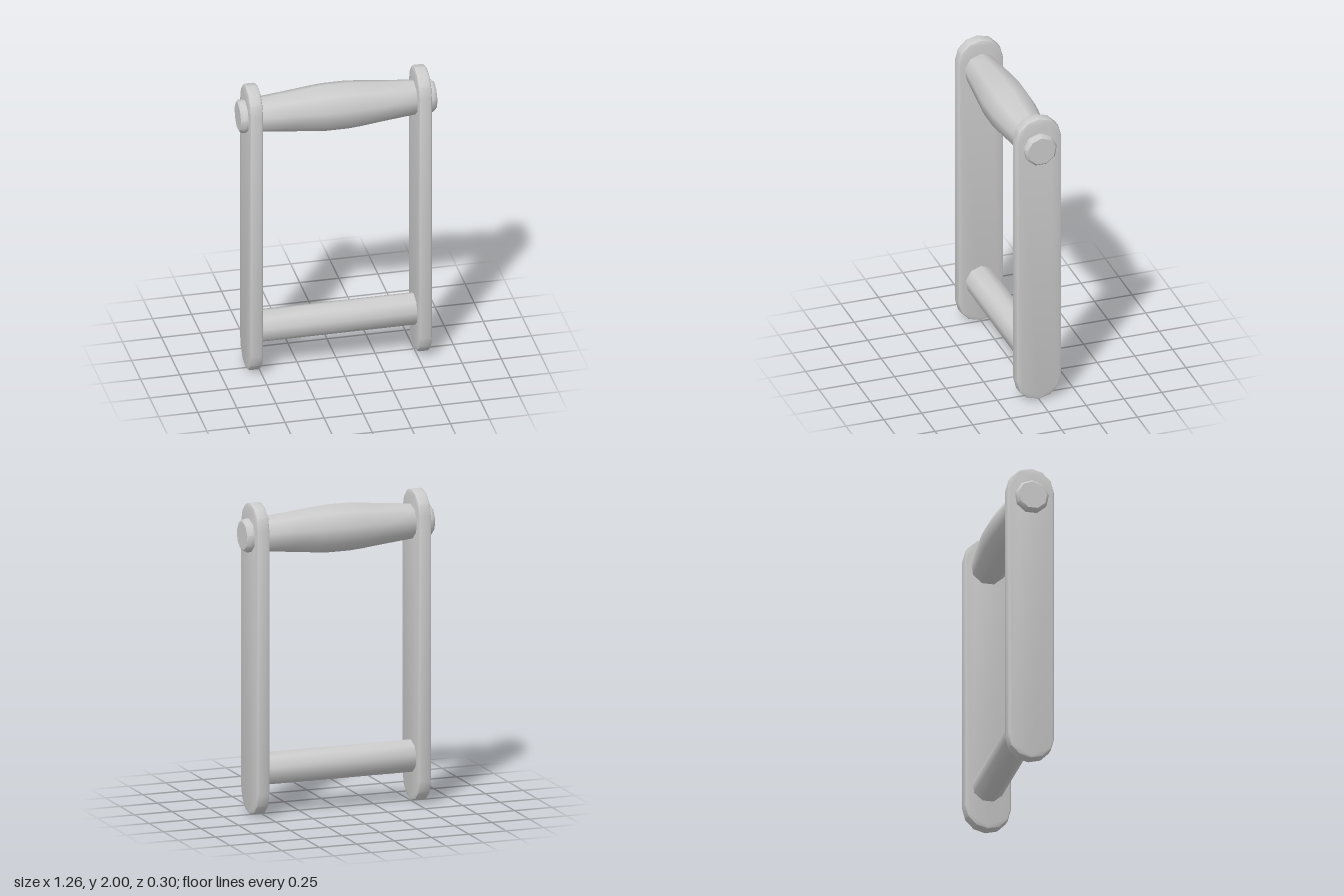
import * as THREE from 'three';
import { toCreasedNormals } from 'three/addons/utils/BufferGeometryUtils.js';

const SIDES = 9;
const CREASE = 0.75;
const material = new THREE.MeshStandardMaterial({ color: 0xcccccc });

function addMesh(group, name, geometry) {
  const mesh = new THREE.Mesh(geometry, material);
  mesh.name = name;
  group.add(mesh);
  return mesh;
}

// Turned part lying along x, from [x, radius] pairs, with a vertex row on top
function turned(profile, y) {
  const points = profile.map(([x, r]) => new THREE.Vector2(r, x));
  const geometry = new THREE.LatheGeometry(points, SIDES, -Math.PI / 2);
  geometry.rotateZ(-Math.PI / 2);
  geometry.translate(0, y, 0);
  return toCreasedNormals(geometry, CREASE);
}

// Upright bar with round ends and bevelled edges, centred on x = 0
function plateGeometry() {
  const r = 0.15, bevel = 0.016, thickness = 0.084;
  const shape = new THREE.Shape();
  for (let i = 0; i <= 13; i++) {
    const a = (i < 7 ? i : i - 1) * Math.PI / 6;
    const x = r * Math.cos(a), y = (i < 7 ? 1.85 : 0.155) + r * Math.sin(a);
    if (i) shape.lineTo(x, y);
    else shape.moveTo(x, y);
  }
  shape.closePath();
  const geometry = new THREE.ExtrudeGeometry(shape, {
    depth: thickness - 2 * bevel, bevelThickness: bevel, bevelSize: bevel,
    bevelOffset: -bevel, bevelSegments: 2,
  });
  geometry.translate(0, 0, bevel - thickness / 2);
  geometry.rotateY(Math.PI / 2);
  return toCreasedNormals(geometry, 0.6);
}

export function createModel() {
  const model = new THREE.Group();
  model.name = 'handleFrame';

  // Barrel-shaped grip
  const half = [[0.51, 0.11], [0.3, 0.13], [0.15, 0.146], [0.07, 0.152]];
  const grip = [...half.map(([x, r]) => [-x, r]), ...half.slice().reverse()];
  addMesh(model, 'grip', turned(grip, 1.794));

  // Straight lower crossbar
  addMesh(model, 'crossbar', turned([[-0.51, 0.103], [0.51, 0.103]], 0.293));

  // Side plates and the pin heads outside them
  for (const [side, s] of [['left', 1], ['right', -1]]) {
    addMesh(model, side + 'Plate', plateGeometry()).position.x = s * 0.54;
    const head = [[0.57, 0.107], [0.612, 0.107], [0.628, 0.092], [0.628, 0]];
    const profile = s > 0 ? head : head.map(([x, r]) => [-x, r]).reverse();
    addMesh(model, side + 'PinHead', turned(profile, 1.793));
  }
  return model;
}
